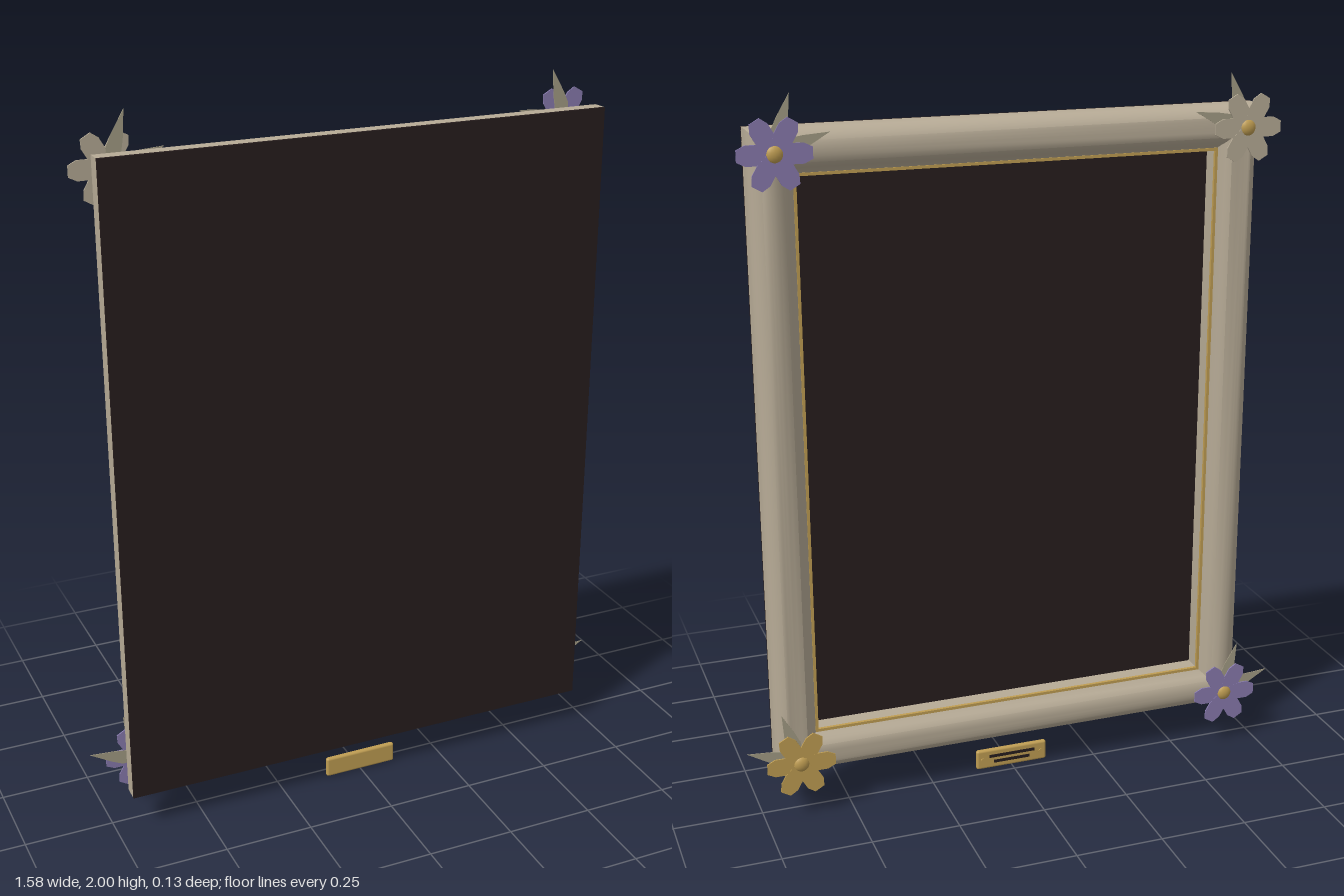
import * as THREE from 'three';
import { toCreasedNormals } from 'three/addons/utils/BufferGeometryUtils.js';
import { RoundedBoxGeometry } from 'three/addons/geometries/RoundedBoxGeometry.js';

const mat = (name, color) => {
  const m = new THREE.MeshStandardMaterial({ color });
  m.name = name;
  return m;
};
const M = {
  frame: mat('warm stone', 0xb7ab96),
  board: mat('dark brown', 0x271d1d),
  gold: mat('gold', 0xbf9d52),
  purple: mat('purple', 0x887aae),
  cream: mat('cream', 0xb5aa95),
  leaf: mat('sage', 0xa39c84),
};

// Frame outline
const HW = 0.703, Y0 = 0.11, Y1 = 1.907, CY = (Y0 + Y1) / 2, HH = (Y1 - Y0) / 2;

function add(parent, name, geo, material, x = 0, y = 0, z = 0) {
  const m = new THREE.Mesh(geo, material);
  m.name = name;
  m.position.set(x, y, z);
  parent.add(m);
  return m;
}

// Sweeps an (inset, z) profile round the mitred rectangle
function moulding(profile) {
  const corners = [[-1, -1], [1, -1], [1, 1], [-1, 1]];
  const pos = [];
  const pt = (c, p) => [c[0] * (HW - p[0]), CY + c[1] * (HH - p[0]), p[1]];
  for (let s = 0; s < 4; s++) {
    const a = corners[s], b = corners[(s + 1) % 4];
    for (let i = 0; i < profile.length - 1; i++) {
      const p = profile[i], q = profile[i + 1];
      const A = pt(a, p), B = pt(b, p), C = pt(b, q), E = pt(a, q);
      pos.push(...A, ...C, ...B, ...A, ...E, ...C);
    }
  }
  const g = new THREE.BufferGeometry();
  g.setAttribute('position', new THREE.Float32BufferAttribute(pos, 3));
  return toCreasedNormals(g, 0.6);
}

// Thin blade along +x, symmetric about its axis, from (distance, half width) points
function blade(points, depth) {
  const upper = points.map(([x, w]) => new THREE.Vector2(x, w));
  const lower = points.filter(p => p[1] > 0).map(([x, w]) => new THREE.Vector2(x, -w));
  const shape = new THREE.Shape([...lower, ...upper.reverse()]);
  return new THREE.ExtrudeGeometry(shape, { depth, bevelEnabled: false });
}

function flower(name, sx, top, material) {
  const g = new THREE.Group();
  g.name = name;
  g.position.set(sx * 0.645, top ? 1.852 : 0.167, 0);
  const petal = blade([[0, 0.014], [0.045, 0.026], [0.074, 0.026], [0.096, 0.015]], 0.004);
  for (let i = 0; i < 6; i++) {
    add(g, 'petal', petal, material, 0, 0, -0.06 - i * 0.0002).rotation.z = i * Math.PI / 3;
  }
  const leaf = blade([[0.005, 0.006], [0.05, 0.021], [0.085, 0.016], [0.153, 0]], 0.002);
  const mid = sx * (top ? 1 : -1) > 0 ? 135 : 45;
  for (const d of [-27.5, 27.5]) {
    add(g, 'leaf', leaf, M.leaf, 0, 0, -0.039).rotation.z = THREE.MathUtils.degToRad(mid + d);
  }
  const button = add(g, 'flowerCentre', new THREE.SphereGeometry(0.024, 16, 12), M.gold, 0, 0, -0.054);
  button.scale.z = 0.6;
  return g;
}

export function createModel() {
  const root = new THREE.Group();
  root.name = 'pictureFrame';

  // Rounded moulding that slopes to a lip, then drops to the recessed panel
  const profile = [[0, 0.06], [0, 0.025]];
  for (let i = 1; i <= 10; i++) {
    const a = i / 10 * Math.PI / 2;
    profile.push([0.055 * (1 - Math.cos(a)), 0.025 - 0.055 * Math.sin(a)]);
  }
  profile.push([0.07, -0.029], [0.085, -0.023], [0.098, -0.013], [0.11, 0.002], [0.122, 0.01], [0.122, 0.058]);
  add(root, 'frameMoulding', moulding(profile), M.frame);

  // Gold fillet along the lip
  add(root, 'goldFillet', moulding([[0.115, 0.008], [0.115, 0.003], [0.123, 0.003], [0.123, 0.012]]), M.gold);

  // Board whose inner side is the recessed panel
  add(root, 'backingBoard', new THREE.BoxGeometry(2 * HW, 2 * HH, 0.008), M.board, 0, CY, 0.061);

  // Corner flowers
  root.add(flower('topLeftFlower', 1, true, M.purple));
  root.add(flower('topRightFlower', -1, true, M.cream));
  root.add(flower('bottomLeftFlower', 1, false, M.gold));
  root.add(flower('bottomRightFlower', -1, false, M.purple));

  // Plaque with engraved bars and pins
  const plaque = new THREE.Group();
  plaque.name = 'plaque';
  plaque.position.set(0, 0.032, 0.032);
  root.add(plaque);
  add(plaque, 'plaquePlate', new RoundedBoxGeometry(0.216, 0.06, 0.016, 3, 0.007), M.gold);
  for (const [w, y] of [[0.14, 0.009], [0.11, -0.009]]) {
    add(plaque, 'engravedBar', new THREE.BoxGeometry(w, 0.009, 0.002), M.board, 0, y, -0.0085);
  }
  for (const s of [-1, 1]) {
    const pin = add(plaque, 'pin', new THREE.CylinderGeometry(0.006, 0.006, 0.004, 12), M.gold, s * 0.09, 0, -0.009);
    pin.rotation.x = Math.PI / 2;
  }
  return root;
}
